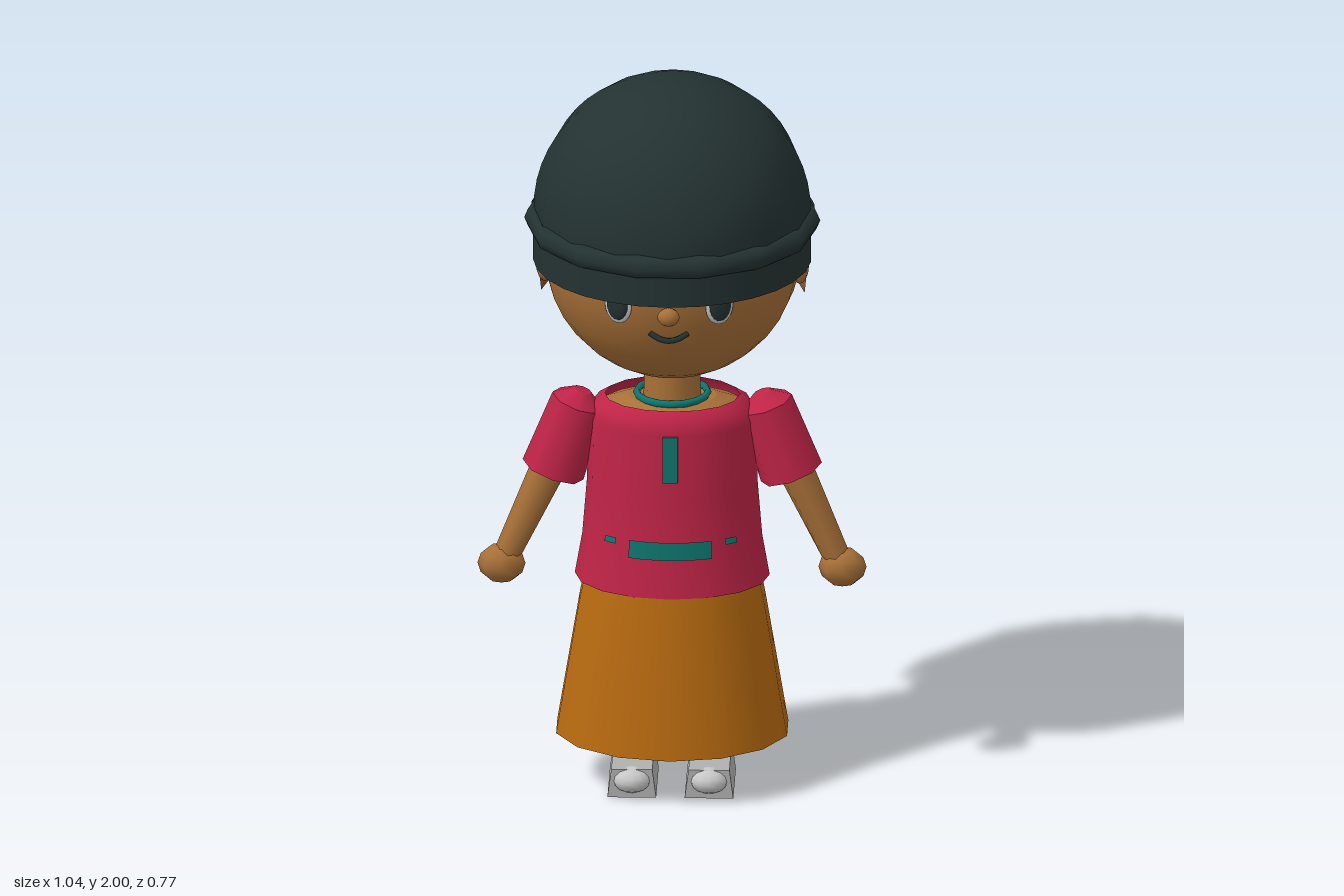
import * as THREE from 'three';

const mat = (name, color) => Object.assign(
  new THREE.MeshStandardMaterial({ color, side: THREE.DoubleSide }), { name });

export function createModel() {
  const root = new THREE.Group();
  root.name = 'figure';

  const skin = mat('skin', 0xa87038);
  const nape = mat('nape brown', 0x7d5530);
  const dark = mat('dark cap', 0x243232);
  const red = mat('red shirt', 0xc02447);
  const teal = mat('teal trim', 0x0f766e);
  const orange = mat('orange skirt', 0xb86a10);
  const white = mat('light grey', 0xc8c8c8);
  const grey = mat('shoe grey', 0xb0b0b0);

  const add = (name, geo, material, pos = [0, 0, 0], scale = [1, 1, 1], parent = root) => {
    const m = new THREE.Mesh(geo, material);
    m.name = name;
    m.position.set(...pos);
    m.scale.set(...scale);
    parent.add(m);
    return m;
  };
  const ball = (name, material, pos, scale, w = 16, h = 12) =>
    add(name, new THREE.SphereGeometry(1, w, h), material, pos, scale);
  const lathe = (pts, seg, start = 0, len = Math.PI * 2) =>
    new THREE.LatheGeometry(pts.map(p => new THREE.Vector2(...p)), seg, start, len);
  // Tapered limb between two points
  const limb = (name, material, from, to, rFrom, rTo, seg) => {
    const a = new THREE.Vector3(...from), b = new THREE.Vector3(...to);
    const m = add(name, new THREE.CylinderGeometry(rTo, rFrom, a.distanceTo(b), seg), material);
    m.position.lerpVectors(a, b, 0.5);
    m.quaternion.setFromUnitVectors(new THREE.Vector3(0, 1, 0), b.sub(a).normalize());
    return m;
  };

  // Head and face
  ball('head', skin, [0, 1.52, 0], [0.345, 0.356, 0.318], 24, 18);
  ball('nose', skin, [0, 1.445, 0.327], [0.03, 0.025, 0.024], 10, 8);
  const smile = new THREE.QuadraticBezierCurve3(
    new THREE.Vector3(-0.05, 1.385, 0.288), new THREE.Vector3(0, 1.35, 0.316), new THREE.Vector3(0.05, 1.385, 0.288));
  add('mouth', new THREE.TubeGeometry(smile, 8, 0.008, 6), dark);

  // Cap: dome, rolled brim, front band, nape panel and its ragged edge
  add('capDome', new THREE.SphereGeometry(0.37, 16, 14, 0, Math.PI * 2, 0, Math.PI * 0.55), dark, [0, 1.63, 0]);
  const brim = new THREE.TorusGeometry(0.361, 0.034, 8, 14);
  brim.rotateX(Math.PI / 2);
  add('capBrim', brim, dark, [0, 1.6, 0]);
  const side = Math.PI / 2 + 0.16, back = Math.PI - 0.32;
  add('frontBand', new THREE.CylinderGeometry(0.372, 0.372, 0.1, 16, 1, true, -side, side * 2), dark, [0, 1.54, 0]);
  const under = new THREE.RingGeometry(0.3, 0.371, 16, 1, -0.16, Math.PI + 0.32);
  under.rotateX(Math.PI / 2);
  add('frontBandUnderside', under, dark, [0, 1.492, 0]);
  add('napePanel', new THREE.CylinderGeometry(0.378, 0.356, 0.21, 16, 1, true, side, back), nape, [0, 1.475, 0]);
  const fringe = new THREE.CylinderGeometry(0.383, 0.383, 0.1, 60, 1, true, side, back);
  const p = fringe.attributes.position;
  for (let i = 0; i < p.count; i++) {
    if (p.getY(i) > 0) continue;
    const a = Math.atan2(-p.getZ(i), p.getX(i));
    p.setY(i, -0.015 - 0.05 * Math.cos(6 * a) ** 4);
  }
  add('raggedFringe', fringe, dark, [0, 1.57, 0]);

  // Neck, upper chest and collar
  add('neck', new THREE.CylinderGeometry(0.073, 0.078, 0.16, 12), skin, [0, 1.13, 0]);
  add('chest', new THREE.CylinderGeometry(0.12, 0.2, 0.03, 16), skin, [0, 1.083, 0], [1, 1, 0.75]);
  const collar = new THREE.TorusGeometry(0.095, 0.01, 6, 16);
  collar.rotateX(Math.PI / 2);
  add('collar', collar, teal, [0, 1.105, 0]);

  // Shirt with placket and broken belt
  const flat = [1, 1, 0.75];
  add('shirt', lathe([[0.26, 0.585], [0.24, 0.7], [0.228, 0.85], [0.225, 1.04], [0.212, 1.08], [0.18, 1.1]], 16),
    red, [0, 0, 0], flat);
  add('placket', new THREE.BoxGeometry(0.04, 0.13, 0.008), teal, [0, 0.975, 0.171]);
  for (const turn of [0, Math.PI]) {
    const belt = (y0, y1, from, len) => add('beltPatch',
      lathe([[0.247, y0], [0.243, y1]], 8, turn + from, len), teal, [0, 0, 0], flat);
    belt(0.692, 0.742, -0.47, 0.94);
    belt(0.726, 0.742, 0.64, 0.16);
    belt(0.726, 0.742, -0.8, 0.16);
  }

  // Skirt
  add('skirt', lathe([[0.316, 0.145], [0.285, 0.33], [0.253, 0.52], [0.235, 0.61]], 14), orange, [0, 0, 0], [1, 1, 0.81]);

  // Mirrored parts
  for (const s of [1, -1]) {
    const side = s > 0 ? 'left' : 'right';

    const eye = new THREE.Group();
    eye.name = side + 'Eye';
    eye.position.set(s * 0.135, 1.465, 0.29);
    eye.rotation.y = s * 0.38;
    root.add(eye);
    add('eyeWhite', new THREE.SphereGeometry(1, 14, 10), white, [0, 0, 0], [0.039, 0.052, 0.012], eye);
    add('iris', new THREE.SphereGeometry(1, 14, 10), dark, [0, 0.003, 0.006], [0.031, 0.044, 0.012], eye);

    ball(side + 'Ear', skin, [s * 0.34, 1.46, -0.015], [0.024, 0.045, 0.04], 10, 8);

    limb(side + 'Sleeve', red, [s * 0.318, 0.88, 0.003], [s * 0.25, 1.075, 0], 0.086, 0.074, 8);
    limb(side + 'Shoulder', red, [s * 0.25, 1.075, 0], [s * 0.238, 1.107, 0], 0.074, 0.025, 8);
    limb(side + 'Arm', skin, [s * 0.44, 0.645, 0.02], [s * 0.315, 0.92, 0.003], 0.036, 0.05, 8);
    ball(side + 'Hand', skin, [s * 0.455, 0.618, 0.022], [0.064, 0.054, 0.052], 8, 6);

    add(side + 'Leg', new THREE.CylinderGeometry(0.055, 0.052, 0.5, 10), skin, [s * 0.105, 0.32, 0.005]);

    // Shoe block narrows toward its top
    const shoe = new THREE.BoxGeometry(0.13, 0.08, 0.22);
    const v = shoe.attributes.position;
    for (let i = 0; i < v.count; i++) if (v.getY(i) > 0) v.setX(i, v.getX(i) * 0.84);
    shoe.computeVertexNormals();
    add(side + 'Shoe', shoe, grey, [s * 0.103, 0.045, 0.053]);
    add(side + 'Sole', new THREE.BoxGeometry(0.09, 0.006, 0.16), nape, [s * 0.103, 0.003, 0.05]);
    ball(side + 'ToeCap', white, [s * 0.103, 0.052, 0.15], [0.052, 0.035, 0.045], 12, 8);
  }
  return root;
}
